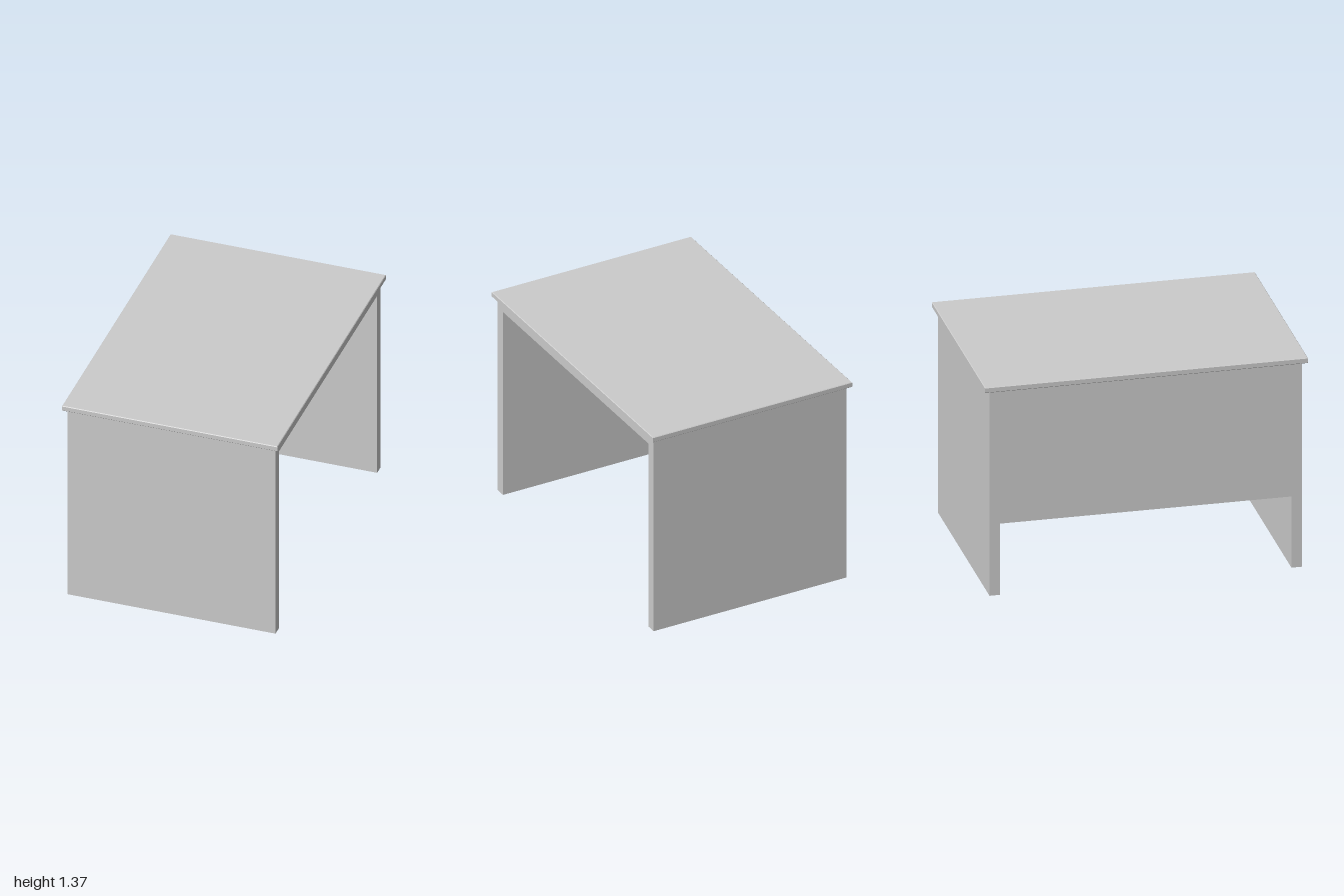
import * as THREE from 'three';

const WIDTH = 1.326;      // body size along x
const HALF_LENGTH = 0.967; // body half size along z
const BOARD = 0.065;      // board thickness
const BODY_TOP = 1.335;
const TOTAL_HEIGHT = 1.37;

export function createModel() {
  const group = new THREE.Group();
  group.name = 'desk';
  const material = new THREE.MeshStandardMaterial({ color: 0xcccccc, flatShading: true });

  const add = (name, geometry, x, y, z) => {
    const mesh = new THREE.Mesh(geometry, material);
    mesh.name = name;
    mesh.position.set(x, y, z);
    group.add(mesh);
    return mesh;
  };

  // Two side legs and the under-top board as one upside-down U, extruded along x
  const inner = HALF_LENGTH - BOARD;
  const innerTop = BODY_TOP - 0.062;
  const frame = new THREE.Shape([
    [-HALF_LENGTH, 0], [-inner, 0], [-inner, innerTop], [inner, innerTop],
    [inner, 0], [HALF_LENGTH, 0], [HALF_LENGTH, BODY_TOP], [-HALF_LENGTH, BODY_TOP],
  ].map(([a, b]) => new THREE.Vector2(a, b)));
  const frameGeometry = new THREE.ExtrudeGeometry(frame, { depth: WIDTH, bevelEnabled: false });
  frameGeometry.rotateY(Math.PI / 2);
  add('legFrame', frameGeometry, -WIDTH / 2, 0, 0);

  // Modesty panel, flush with the closed side of the frame
  const panelBottom = 0.465;
  const panelHeight = innerTop - panelBottom;
  add('modestyPanel', new THREE.BoxGeometry(BOARD, panelHeight, inner * 2),
    -WIDTH / 2 + BOARD / 2, panelBottom + panelHeight / 2, 0);

  // Overhanging table top with a fine chamfer
  const bevel = 0.004;
  const hx = 0.686 - bevel;
  const hz = 1 - bevel;
  const top = new THREE.Shape([
    new THREE.Vector2(-hx, -hz), new THREE.Vector2(hx, -hz),
    new THREE.Vector2(hx, hz), new THREE.Vector2(-hx, hz),
  ]);
  const topGeometry = new THREE.ExtrudeGeometry(top, {
    depth: TOTAL_HEIGHT - BODY_TOP - 2 * bevel,
    bevelSize: bevel, bevelThickness: bevel, bevelSegments: 1,
  });
  topGeometry.rotateX(-Math.PI / 2);
  add('tableTop', topGeometry, 0, BODY_TOP + bevel, 0);

  return group;
}
